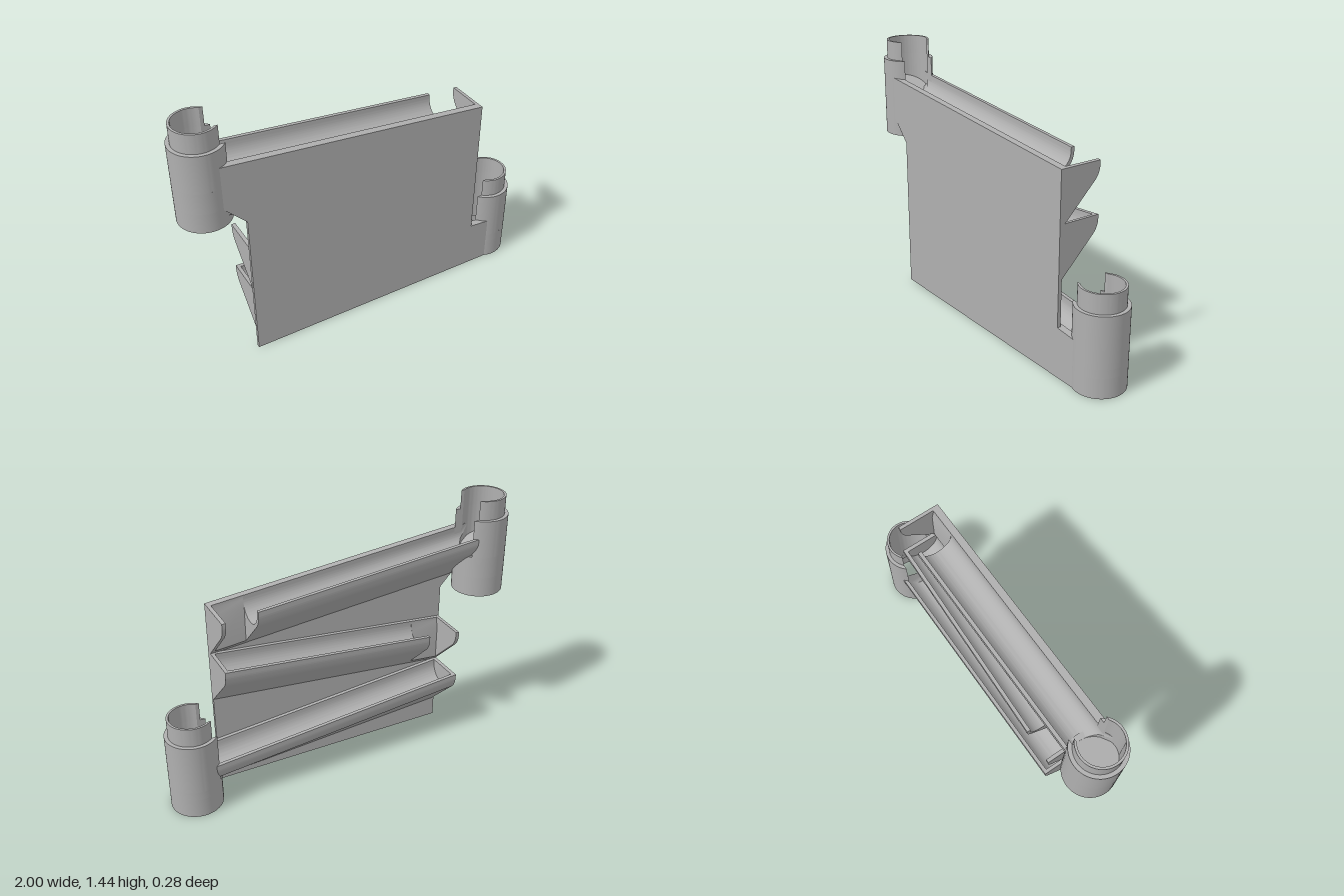
import * as THREE from 'three';
import { toCreasedNormals } from 'three/addons/utils/BufferGeometryUtils.js';

const SLOPE = 0.094, TUBE_X = 0.86, BORE = 0.108, SLOT = 0.088;

export function createModel() {
  const model = new THREE.Group();
  model.name = 'marbleRun';
  const grey = new THREE.MeshStandardMaterial({ color: 0xb0b0b0 });
  grey.name = 'grey plastic';

  const add = (geometry, name, parent = model) => {
    const mesh = new THREE.Mesh(toCreasedNormals(geometry, 0.5), grey);
    mesh.name = name;
    parent.add(mesh);
    return mesh;
  };
  const extrude = (shape, depth) =>
    new THREE.ExtrudeGeometry(shape, { depth, bevelEnabled: false, curveSegments: 32 });

  // Front panel that carries the three channels
  const panel = new THREE.Shape([
    [-0.695, 0], [0.83, 0], [0.83, 0.262], [0.69, 0.275], [0.69, 1.09],
    [-0.81, 1.231], [-0.81, 0.99], [-0.695, 0.87],
  ].map(p => new THREE.Vector2(...p)));
  add(extrude(panel, 0.02).translate(0, 0, 0.11), 'panel');

  // Channel cross-sections: shape x is -z, shape y is measured from the rim
  function profile(hollow) {
    const s = new THREE.Shape();
    s.moveTo(0.11, 0);
    s.lineTo(0.11, -0.02);
    s.absarc(0, -0.02, 0.11, 0, -Math.PI / 4, true);
    s.lineTo(-0.115, -0.291);
    s.lineTo(-0.115, 0);
    if (hollow) {
      s.lineTo(-0.09, 0);
      s.absarc(0, -0.02, 0.09, Math.PI, 2 * Math.PI, false);
      s.lineTo(0.09, 0);
    }
    return s;
  }
  const lip = new THREE.Shape([
    [-0.115, 0], [-0.09, 0], [-0.09, -0.02], [-0.08, -0.061], [-0.08, -0.256], [-0.115, -0.291],
  ].map(p => new THREE.Vector2(...p)));

  // Extrude a section from x0 to x1 along a sloping rim; tubeSide hollows that end to fit a tube
  function alongSlope(shape, x0, x1, rimAt, tubeSide = 0) {
    const g = extrude(shape, x1 - x0).rotateY(Math.PI / 2).translate(x0, 0, 0);
    const p = g.attributes.position;
    for (let i = 0; i < p.count; i++) {
      let x = p.getX(i);
      const z = p.getZ(i);
      if (tubeSide && x * tubeSide > 0.72) {
        x = tubeSide * (TUBE_X - Math.sqrt(Math.max(0, BORE * BORE - z * z)));
      }
      p.setXYZ(i, x, Math.max(0.001, p.getY(i) + rimAt(x)), z);
    }
    return g;
  }

  const upperRim = x => 1.09 - SLOPE * (x - 0.69);
  const middleRim = x => 0.815 + SLOPE * (x - 0.69);
  const lowerRim = x => 0.275 - SLOPE * (x - 0.69);

  const channels = [
    { name: 'upperChannel', rim: upperRim, from: -0.75, to: 0.5, tube: -1, walls: [0.67], lip: 0.5 },
    { name: 'middleChannel', rim: middleRim, from: -0.5, to: 0.68, tube: 0, walls: [0.67, -0.69], lip: -0.67 },
    { name: 'lowerChannel', rim: lowerRim, from: -0.68, to: 0.75, tube: 1, walls: [-0.69] },
  ];
  for (const c of channels) {
    const group = new THREE.Group();
    group.name = c.name;
    model.add(group);
    add(alongSlope(profile(true), c.from, c.to, c.rim, c.tube), 'trough', group);
    for (const x of c.walls) add(alongSlope(profile(false), x, x + 0.02, c.rim), 'endWall', group);
    if (c.lip !== undefined) add(alongSlope(lip, c.lip, c.lip + 0.17, c.rim), 'dropLip', group);
  }

  // Ring standing on y0; slotted rings are open towards +x with parallel slot sides
  function ring(outer, inner, y0, y1, slotted) {
    const s = new THREE.Shape();
    if (slotted) {
      const a = Math.asin(SLOT / outer), b = Math.asin(SLOT / inner);
      s.absarc(0, 0, outer, a, 2 * Math.PI - a, false);
      s.absarc(0, 0, inner, 2 * Math.PI - b, b, true);
    } else {
      s.absarc(0, 0, outer, 0, 2 * Math.PI, false);
      const hole = new THREE.Path();
      hole.absarc(0, 0, inner, 0, 2 * Math.PI, true);
      s.holes.push(hole);
    }
    return extrude(s, y1 - y0).rotateX(-Math.PI / 2).translate(0, y0, 0);
  }

  // Stacking tubes: wide socket below, slotted wall beside the channel, narrow collar on top
  function tube(name, x, base, slotY) {
    const group = new THREE.Group();
    group.name = name;
    group.position.set(x, base, 0);
    if (x > 0) group.rotation.y = Math.PI;
    model.add(group);
    add(ring(0.14, 0.122, 0, 0.11, false), 'socket', group);
    add(ring(0.14, BORE, 0.11, slotY, false), 'tubeWall', group);
    add(ring(0.14, BORE, slotY, 0.44, true), 'slottedWall', group);
    add(ring(0.12, BORE, 0.44, 0.545, true), 'collar', group);
    return group;
  }
  const inlet = tube('inletTube', -TUBE_X, 0.89, 0.23);
  tube('outletTube', TUBE_X, 0, 0.157);

  // Tilted floor that feeds marbles into the upper channel
  const floor = new THREE.CylinderGeometry(0.115, 0.115, 0.02, 48);
  const fp = floor.attributes.position;
  for (let i = 0; i < fp.count; i++) fp.setY(i, fp.getY(i) + 0.26 - 0.4 * fp.getX(i));
  add(floor, 'inletFloor', inlet);

  return model;
}
